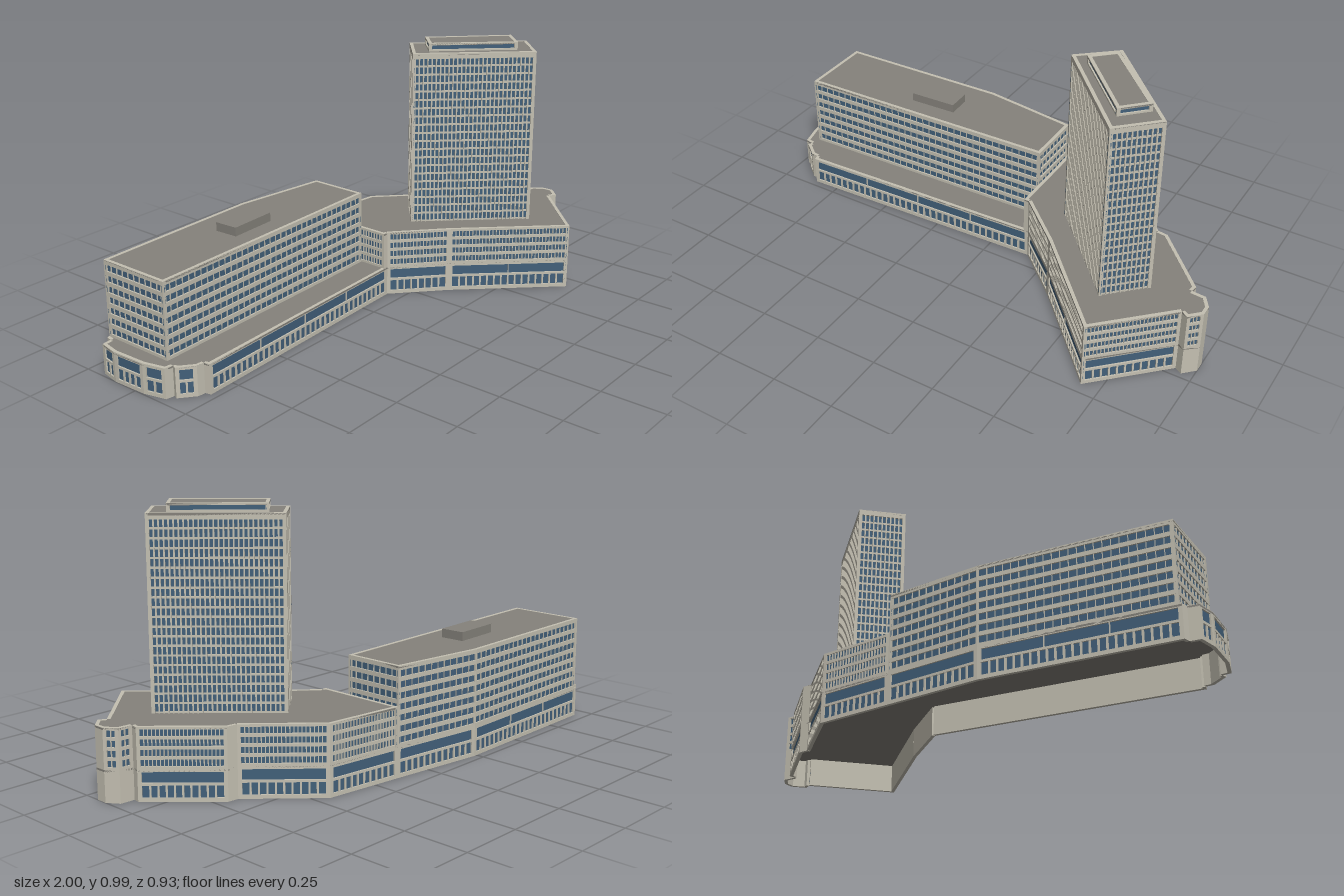
import * as THREE from 'three';
import { mergeGeometries } from 'three/addons/utils/BufferGeometryUtils.js';

const material = (color) => new THREE.MeshStandardMaterial({ color, side: THREE.DoubleSide });
const concrete = material(0xc4c0b2);
const glass = material(0x42607a);
const roofing = material(0x85827b);

// Podium plan as [x, z], clockwise seen from above
const backWest = [[-0.94, -0.455], [-0.235, -0.469], [0.145, -0.417]];
const eastSide = [
  [0.45, -0.377], [0.67, -0.155], [0.71, -0.15], [0.92, 0.07], [0.915, 0.096],
  [0.97, 0.1], [1, 0.145], [1, 0.187], [0.957, 0.23], [0.93, 0.214],
  [0.68, 0.46], [0.35, 0.107], [0.165, -0.064],
];
const westEnd = [
  [-0.855, -0.027], [-0.86, -0.05], [-0.89, -0.053], [-0.947, -0.1], [-0.94, -0.117],
  [-0.973, -0.123], [-0.995, -0.21], [-1, -0.35], [-0.985, -0.427], [-0.947, -0.43],
];
const podiumPlan = [...backWest, ...eastSide, ...westEnd];
const eastPlan = [[0.145, -0.417], ...eastSide, [0.145, -0.065]];
const slabPlan = [[-0.93, -0.455], [-0.235, -0.469], [0.145, -0.417], [0.145, -0.18], [-0.93, -0.155]];
const towerPlan = [[0.46, -0.187], [0.785, 0.155], [0.648, 0.29], [0.32, -0.065]];
const crownPlan = [[0.477, -0.123], [0.72, 0.123], [0.633, 0.212], [0.393, -0.042]];
const plantPlan = [[-0.495, -0.342], [-0.303, -0.35], [-0.3, -0.255], [-0.49, -0.248]];

// Box along a-b from t0 to t1 (distance), between y0 and y1, lying inset..inset+depth inside the line
function bar(a, b, t0, t1, y0, y1, inset, depth) {
  const dx = b[0] - a[0], dz = b[1] - a[1], len = Math.hypot(dx, dz);
  const ux = dx / len, uz = dz / len, t = (t0 + t1) / 2, k = inset + depth / 2;
  return new THREE.BoxGeometry(t1 - t0, y1 - y0, depth)
    .rotateY(Math.atan2(-uz, ux))
    .translate(a[0] + ux * t - uz * k, (y0 + y1) / 2, a[1] + uz * t + ux * k);
}

// Flat plate in the shape of a plan
function plate(plan, y0, y1) {
  const shape = new THREE.Shape(plan.map(([x, z]) => new THREE.Vector2(x, z)));
  return new THREE.ExtrudeGeometry(shape, { depth: y1 - y0, bevelEnabled: false })
    .rotateX(Math.PI / 2).translate(0, y1, 0);
}

function addMesh(group, name, geometries, mat) {
  const mesh = new THREE.Mesh(mergeGeometries(geometries), mat);
  mesh.name = name;
  group.add(mesh);
}

// Walls with bands of windows around a plan, closed by a roof with a low parapet
function building(name, plan, { y0, y1, bands, minLength = 0, post = 0.012, recess = 0 }) {
  const group = new THREE.Group();
  group.name = name;
  const walls = [], fins = [], panes = [];
  plan.forEach((a, i) => {
    const b = plan[(i + 1) % plan.length];
    const len = Math.hypot(b[0] - a[0], b[1] - a[1]);
    if (len < minLength) {
      walls.push(bar(a, b, 0, len, y0, y1, 0, 0.012));
      return;
    }
    // backing wall and corner posts
    walls.push(bar(a, b, 0, len, y0, y1, 0.01, 0.003));
    for (const t of [0, len - post]) walls.push(bar(a, b, t, t + post, y0, y1, 0, 0.012));
    // glass bands, the spandrels between them and the mullions in front
    let below = y0;
    for (const { lo, hi, pitch, width } of bands) {
      walls.push(bar(a, b, 0, len, below, lo, recess, 0.01 - recess));
      panes.push(bar(a, b, 0, len, lo, hi, 0.006, 0.003));
      const n = Math.max(1, Math.round((len - 2 * post) / pitch));
      for (let j = 1; j < n; j++) {
        const t = post + (j * (len - 2 * post)) / n;
        fins.push(bar(a, b, t - width / 2, t + width / 2, recess ? below : lo, hi, 0.001, 0.007));
      }
      below = hi;
    }
    walls.push(bar(a, b, 0, len, below, y1, 0, 0.01));
  });
  addMesh(group, 'walls', walls, concrete);
  if (fins.length) addMesh(group, 'mullions', fins, concrete);
  if (panes.length) addMesh(group, 'windows', panes, glass);
  addMesh(group, 'roof', [plate(plan, y1 - 0.008, y1 - 0.001)], roofing);
  return group;
}

const floors = (count, first, step, height, pitch, width) =>
  Array.from({ length: count }, (_, i) => ({
    lo: first + i * step, hi: first + i * step + height, pitch, width,
  }));

export function createModel() {
  const model = new THREE.Group();
  model.name = 'officeComplex';

  // Two-storey podium, open underneath: shop windows below, wide glass band above
  model.add(building('podium', podiumPlan, {
    y0: 0, y1: 0.117, minLength: 0.065, post: 0.014,
    bands: [
      { lo: 0.014, hi: 0.058, pitch: 0.029, width: 0.007 },
      { lo: 0.067, hi: 0.106, pitch: 0.25, width: 0.003 },
    ],
  }));

  // Four storeys over the east wing
  model.add(building('eastWing', eastPlan, {
    y0: 0.117, y1: 0.265, minLength: 0.05, bands: floors(4, 0.126, 0.0353, 0.024, 0.0135, 0.0035),
  }));

  // Long slab over the west wing with ribbon windows
  model.add(building('westSlab', slabPlan, {
    y0: 0.117, y1: 0.412, post: 0.005, bands: floors(7, 0.128, 0.0405, 0.025, 0.03, 0.0015),
  }));

  // Tower with closely spaced vertical ribs
  model.add(building('tower', towerPlan, {
    y0: 0.264, y1: 0.96, post: 0.01, recess: 0.004, bands: floors(20, 0.27, 0.0338, 0.026, 0.0165, 0.0055),
  }));

  // Tower crown with a glass band
  model.add(building('towerCrown', crownPlan, {
    y0: 0.959, y1: 0.99, post: 0.008, bands: [{ lo: 0.966, hi: 0.983, pitch: 0.5, width: 0.004 }],
  }));

  // Plant room on the slab roof
  const plant = new THREE.Mesh(plate(plantPlan, 0.41, 0.445), roofing);
  plant.name = 'plantRoom';
  model.add(plant);

  return model;
}
